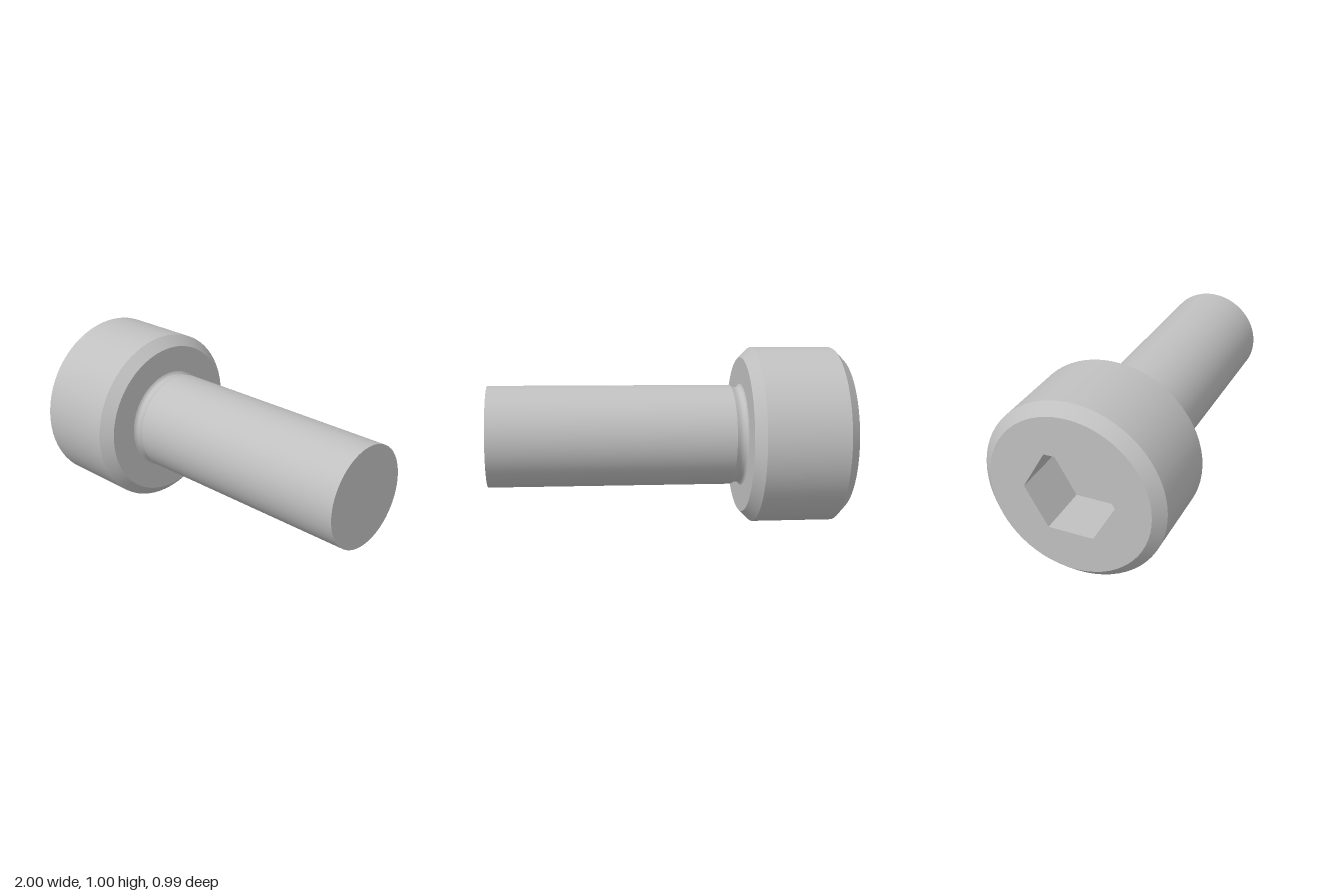
import * as THREE from 'three';

const SEGMENTS = 64;
const HEAD_R = 0.497, FACE_R = 0.44, HEAD_LEN = 0.57, CHAMFER = 0.057;
const SHANK_R = 0.283, NECK_R = 0.27, LENGTH = 1.99;
const SOCKET_R = 0.248, SOCKET_DEPTH = 0.3;

export function createModel() {
  const steel = new THREE.MeshStandardMaterial({ color: 0xc0c0c0 });
  steel.name = 'steel grey';

  // The screw is built along +y from the head face, then laid down along +x.
  const screw = new THREE.Group();
  screw.name = 'screw';

  const add = (name, geometry) => {
    const mesh = new THREE.Mesh(geometry, steel);
    mesh.name = name;
    screw.add(mesh);
  };
  // Each surface is its own lathe, so edges between surfaces stay sharp.
  const turn = (name, ...profile) =>
    add(name, new THREE.LatheGeometry(profile.map(([r, y]) => new THREE.Vector2(r, y)), SEGMENTS));

  // Head face with a hexagonal opening
  const face = new THREE.Shape().absarc(0, 0, FACE_R, 0, Math.PI * 2, false);
  const hexagon = [];
  for (let i = 0; i < 6; i++) {
    const a = (i * Math.PI) / 3;
    hexagon.push(new THREE.Vector2(Math.sin(a) * SOCKET_R, Math.cos(a) * SOCKET_R));
  }
  face.holes.push(new THREE.Path(hexagon));
  add('headFace', new THREE.ShapeGeometry(face, SEGMENTS / 2).rotateX(Math.PI / 2));

  // Hex socket: floor and inward-facing walls
  const socket = new THREE.LatheGeometry([
    new THREE.Vector2(0, SOCKET_DEPTH),
    new THREE.Vector2(SOCKET_R, SOCKET_DEPTH),
    new THREE.Vector2(SOCKET_R, 0),
  ], 6).toNonIndexed();
  socket.computeVertexNormals();
  add('hexSocket', socket);

  // Head
  turn('headOuterChamfer', [FACE_R, 0], [HEAD_R, CHAMFER]);
  turn('headSide', [HEAD_R, CHAMFER], [HEAD_R, HEAD_LEN - CHAMFER]);
  turn('headInnerChamfer', [HEAD_R, HEAD_LEN - CHAMFER], [FACE_R, HEAD_LEN]);
  turn('headUnderside', [FACE_R, HEAD_LEN], [0.29, HEAD_LEN]);

  // Undercut neck with small fillets at both ends
  const neckEnd = HEAD_LEN + 0.062;
  turn('neck', [0.29, HEAD_LEN], [0.279, HEAD_LEN + 0.004], [0.273, HEAD_LEN + 0.012],
    [NECK_R, HEAD_LEN + 0.024], [NECK_R, HEAD_LEN + 0.034],
    [0.274, HEAD_LEN + 0.046], [SHANK_R, neckEnd]);

  // Shank
  turn('shank', [SHANK_R, neckEnd], [SHANK_R, LENGTH]);
  turn('shankEnd', [SHANK_R, LENGTH], [0, LENGTH]);

  // Laid on its side with a very slight upward tilt
  screw.rotation.z = -Math.PI / 2 + 0.0128;
  screw.position.set(-0.994, 0.497, 0);

  const model = new THREE.Group();
  model.name = 'socketHeadScrew';
  model.add(screw);
  return model;
}
